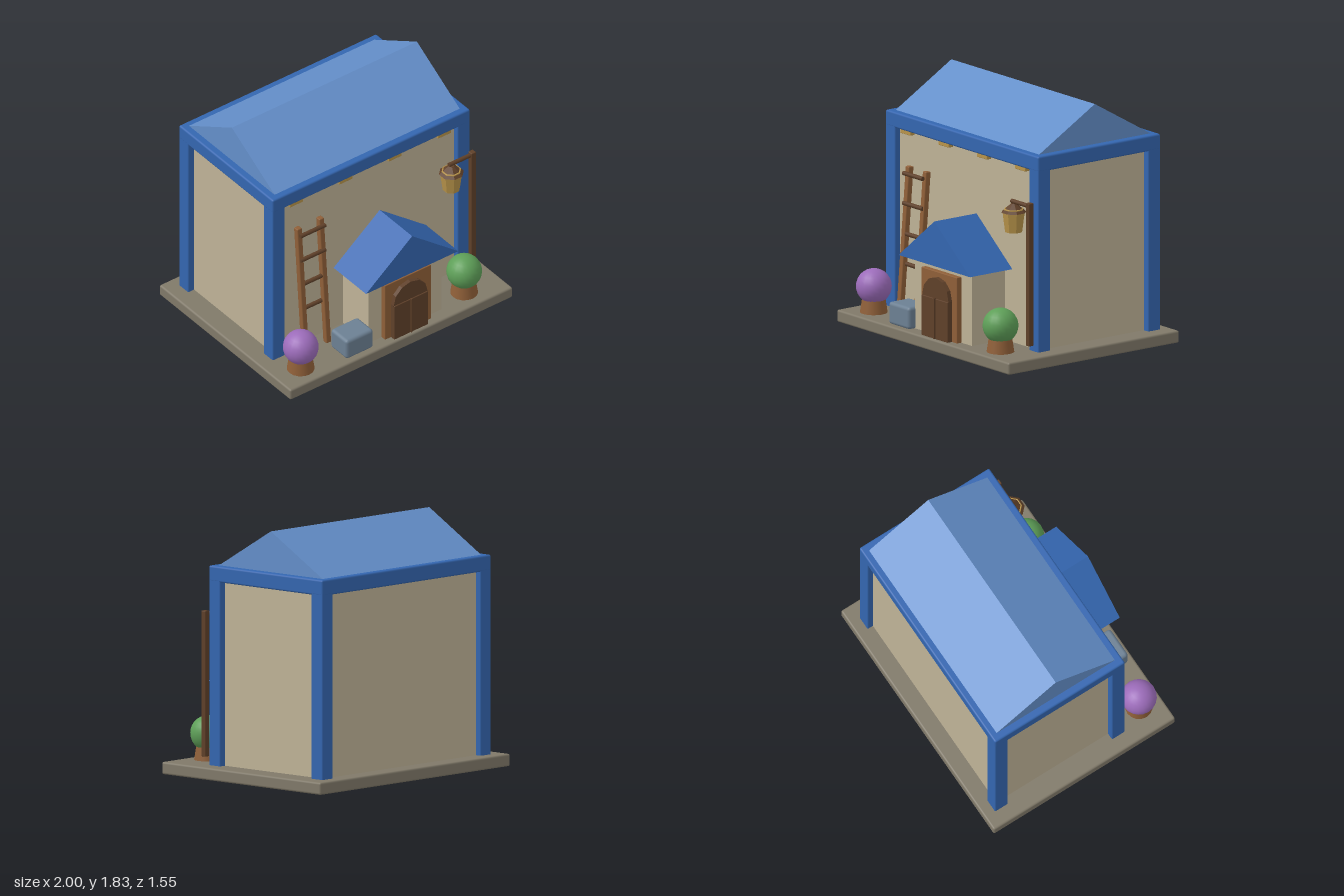
import * as THREE from 'three';
import { RoundedBoxGeometry } from 'three/addons/geometries/RoundedBoxGeometry.js';

const paint = (name, color, extra = {}) => {
  const m = new THREE.MeshStandardMaterial({ color, ...extra });
  m.name = name;
  return m;
};

export function createModel() {
  const stone = paint('stone', 0x807969);
  const plaster = paint('plaster', 0xbfb397);
  const blue = paint('blue', 0x3466b0);
  const paleBlue = paint('pale blue', 0x648fca);
  const wood = paint('wood', 0x8f5f38);
  const darkWood = paint('dark wood', 0x5f4029);
  const gold = paint('gold', 0xb8944a);
  const purple = paint('purple', 0x9c6cba);
  const green = paint('green', 0x5e9f58);
  const slate = paint('slate', 0x6c8093);

  const model = new THREE.Group();
  model.name = 'house';
  const add = (name, geometry, material, x = 0, y = 0, z = 0, parent = model) => {
    const mesh = new THREE.Mesh(geometry, material);
    mesh.name = name;
    mesh.position.set(x, y, z);
    parent.add(mesh);
    return mesh;
  };
  // Box given by its limits on each axis, with optionally rounded edges
  const box = (name, material, [x0, x1], [y0, y1], [z0, z1], r = 0) => {
    const size = [x1 - x0, y1 - y0, z1 - z0];
    const g = r ? new RoundedBoxGeometry(...size, 2, r) : new THREE.BoxGeometry(...size);
    return add(name, g, material, (x0 + x1) / 2, (y0 + y1) / 2, (z0 + z1) / 2);
  };
  // Triangular prism, ridge along z, base on y = 0
  const prism = (halfWidth, height, length) => {
    const s = new THREE.Shape();
    s.moveTo(-halfWidth, 0);
    s.lineTo(halfWidth, 0);
    s.lineTo(0, height);
    return new THREE.ExtrudeGeometry(s, { depth: length, bevelEnabled: false }).translate(0, 0, -length / 2);
  };

  // Ground slab and main body
  box('base', stone, [-1, 1], [0, 0.09], [-0.78, 0.775], 0.015);
  box('walls', plaster, [-0.834, 0.834], [0.08, 1.5], [-0.65, 0.37]);

  // Frame of corner posts and top beams
  for (const x of [-0.832, 0.832]) {
    for (const z of [0.362, -0.64]) {
      box('cornerPost', blue, [x - 0.055, x + 0.055], [0.08, 1.45], [z - 0.055, z + 0.055], 0.01);
    }
    box('sideBeam', blue, [x - 0.056, x + 0.056], [1.42, 1.535], [-0.696, 0.418], 0.014);
  }
  for (const z of [0.362, -0.64]) {
    box('longBeam', blue, [-0.888, 0.888], [1.42, 1.535], [z - 0.056, z + 0.056], 0.014);
  }

  // Main roof, ridge running side to side
  add('roof', prism(0.515, 0.3, 1.665).rotateY(Math.PI / 2), paleBlue, 0, 1.53, -0.14);

  // Small brackets under the front beam
  for (let i = 0; i < 4; i++) {
    const x = -0.667 + i * 0.4437;
    box('bracket', gold, [x - 0.059, x + 0.059], [1.393, 1.425], [0.35, 0.41], 0.005);
  }

  // Porch
  box('porchWalls', plaster, [-0.22, 0.44], [0.08, 0.63], [0.36, 0.67]);
  add('porchRoof', prism(0.415, 0.33, 0.385), blue, 0.11, 0.628, 0.5625);
  box('doorFrame', wood, [-0.1, 0.315], [0.085, 0.575], [0.66, 0.71], 0.005);
  const arch = new THREE.CylinderGeometry(0.153, 0.153, 0.04, 12).rotateX(Math.PI / 2).toNonIndexed();
  arch.computeVertexNormals();
  add('doorArch', arch, darkWood, 0.106, 0.387, 0.722);
  for (const side of [-1, 1]) {
    const x = 0.106 + side * 0.079;
    box('doorLeaf', darkWood, [x - 0.073, x + 0.073], [0.087, 0.387], [0.7, 0.75], 0.005);
  }
  box('doorBar', darkWood, [0.1, 0.112], [0.087, 0.39], [0.7, 0.758]);

  // Leaning ladder
  const lean = Math.atan2(0.085, 1.06);
  for (const x of [-0.641, -0.442]) {
    const rail = add('ladderRail', new RoundedBoxGeometry(0.043, 1.075, 0.045, 2, 0.008), wood, x, 0.626, 0.433);
    rail.rotation.x = -lean;
  }
  const rung = new THREE.CylinderGeometry(0.016, 0.016, 0.225, 10).rotateZ(Math.PI / 2);
  for (const y of [0.45, 0.672, 0.894, 1.115]) add('ladderRung', rung, darkWood, -0.542, y, 0.435);

  // Stone block
  box('block', slate, [-0.46, -0.215], [0.085, 0.25], [0.535, 0.73], 0.025);

  // Potted round bushes
  const pot = new THREE.CylinderGeometry(0.084, 0.101, 0.11, 16);
  const ball = new THREE.SphereGeometry(0.129, 20, 14);
  for (const [x, leaf] of [[-0.78, purple], [0.69, green]]) {
    const plant = new THREE.Group();
    plant.name = 'pottedBush';
    plant.position.set(x, 0, 0.607);
    model.add(plant);
    add('pot', pot, wood, 0, 0.14, 0, plant);
    add('foliage', ball, leaf, 0, 0.282, 0, plant);
  }

  // Lamp post with hanging lantern
  box('lampPost', darkWood, [0.84, 0.882], [0.145, 1.2], [0.455, 0.497], 0.006);
  add('lampArm', new THREE.CylinderGeometry(0.016, 0.016, 0.2, 10).rotateZ(Math.PI / 2), darkWood, 0.752, 1.175, 0.475);
  const eighth = (rTop, rBottom, h) => {
    const g = new THREE.CylinderGeometry(rTop, rBottom, h, 8).rotateY(Math.PI / 8).toNonIndexed();
    g.computeVertexNormals();
    return g;
  };
  add('lanternGlass', eighth(0.083, 0.064, 0.145), gold, 0.675, 1.025, 0.475);
  add('lanternCap', eighth(0.02, 0.092, 0.062), darkWood, 0.675, 1.128, 0.475);
  const ring = new THREE.TorusGeometry(0.066, 0.007, 6, 8).rotateX(Math.PI / 2).rotateY(Math.PI / 8);
  add('lanternRing', ring, gold, 0.675, 1.117, 0.475);

  return model;
}
